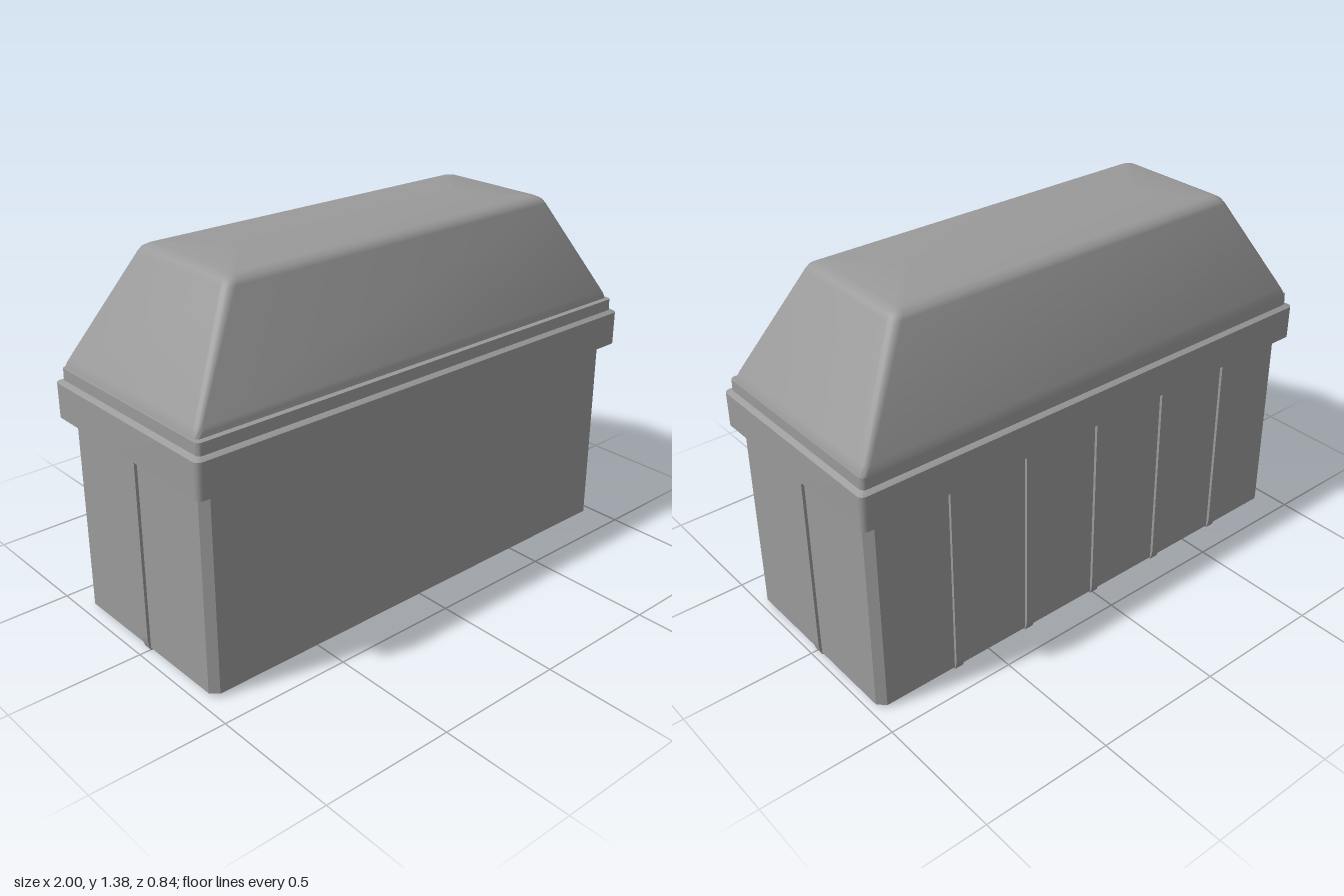
import * as THREE from 'three';
import { toCreasedNormals } from 'three/addons/utils/BufferGeometryUtils.js';

const material = new THREE.MeshStandardMaterial({ color: 0x9a9a9a, side: THREE.DoubleSide });

// Outline of a rectangle with rounded corners (steps = 1 gives a chamfer)
function outline(x0, x1, z0, z1, r, steps) {
  const pts = [];
  const corners = [[x1 - r, z1 - r], [x0 + r, z1 - r], [x0 + r, z0 + r], [x1 - r, z0 + r]];
  corners.forEach(([cx, cz], i) => {
    for (let k = 0; k <= steps; k++) {
      const a = (i + k / steps) * Math.PI / 2;
      pts.push([cx + r * Math.cos(a), cz + r * Math.sin(a)]);
    }
  });
  return pts;
}

// Open shell through sections [y, x0, x1, z0, z1, cornerRadius]
function shell(name, sections, steps, crease) {
  const pos = [], idx = [];
  const n = 4 * (steps + 1);
  for (const [y, ...rect] of sections)
    for (const [x, z] of outline(...rect, steps)) pos.push(x, y, z);
  for (let j = 0; j < sections.length - 1; j++)
    for (let i = 0; i < n; i++) {
      const a = j * n + i, b = j * n + (i + 1) % n;
      idx.push(a, a + n, b, b, a + n, b + n);
    }
  const geo = new THREE.BufferGeometry();
  geo.setAttribute('position', new THREE.Float32BufferAttribute(pos, 3));
  geo.setIndex(idx);
  const mesh = new THREE.Mesh(toCreasedNormals(geo, crease), material);
  mesh.name = name;
  return mesh;
}

// Thin rib running down a wall, with a small hook under its edge; outward is +x
function ribGeometry() {
  const w = 0.036;
  const s = new THREE.Shape();
  s.moveTo(-0.012, 0.78);
  s.lineTo(-0.012, 0.013);
  s.lineTo(-0.035, 0.012);
  s.lineTo(-0.033, 0.006);
  s.lineTo(-0.01, 0);
  s.lineTo(0, 0.002);
  s.lineTo(0.007, 0.02);
  s.lineTo(0.011, 0.045);
  s.lineTo(0.011, 0.78);
  s.closePath();
  return new THREE.ExtrudeGeometry(s, { depth: w, bevelEnabled: false }).translate(0, 0, -w / 2);
}

export function createModel() {
  const group = new THREE.Group();

  // Thin-walled body, open below, with chamfered upright corners
  group.add(shell('body', [
    [0.011, -0.956, 0.974, -0.397, 0.376, 0.028],
    [0.78, -0.956, 0.974, -0.397, 0.376, 0.028],
  ], 1, 0.4));

  // Wide collar around the top of the body, with a sloping upper edge
  group.add(shell('collar', [
    [0.768, -0.95, 0.968, -0.392, 0.37, 0.02],
    [0.763, -0.992, 0.992, -0.412, 0.412, 0.018],
    [0.768, -1, 1, -0.42, 0.42, 0.022],
    [0.898, -1, 1, -0.42, 0.42, 0.022],
    [0.908, -0.981, 0.981, -0.402, 0.402, 0.018],
  ], 4, 0.5));

  // Narrower step above the collar
  group.add(shell('lidStep', [
    [0.908, -0.981, 0.981, -0.402, 0.402, 0.018],
    [0.951, -0.981, 0.981, -0.4, 0.4, 0.018],
    [0.953, -0.96, 0.966, -0.392, 0.37, 0.016],
  ], 4, 0.5));

  // Hollow hipped lid with softened edges, closed along a flat ridge line
  group.add(shell('lid', [
    [0.951, -0.972, 0.978, -0.402, 0.38, 0.02],
    [0.965, -0.968, 0.974, -0.4, 0.378, 0.022],
    [0.985, -0.957, 0.963, -0.395, 0.374, 0.025],
    [1.345, -0.743, 0.75, -0.272, 0.25, 0.035],
    [1.36, -0.732, 0.739, -0.264, 0.242, 0.035],
    [1.37, -0.715, 0.722, -0.245, 0.223, 0.03],
    [1.375, -0.695, 0.702, -0.23, 0.207, 0.025],
    [1.375, -0.5, 0.507, -0.011, -0.011, 0],
  ], 5, 0.65));

  // Ribs: five on the back wall, one on each end
  const geo = ribGeometry();
  const addRib = (name, x, z, turn) => {
    const rib = new THREE.Mesh(geo, material);
    rib.name = name;
    rib.position.set(x, 0, z);
    rib.rotation.y = turn;
    group.add(rib);
  };
  for (let i = -2; i <= 2; i++) addRib('backRib', i * 0.322 - 0.003, -0.397, Math.PI / 2);
  addRib('leftRib', 0.974, -0.014, 0);
  addRib('rightRib', -0.956, -0.014, Math.PI);

  return group;
}
